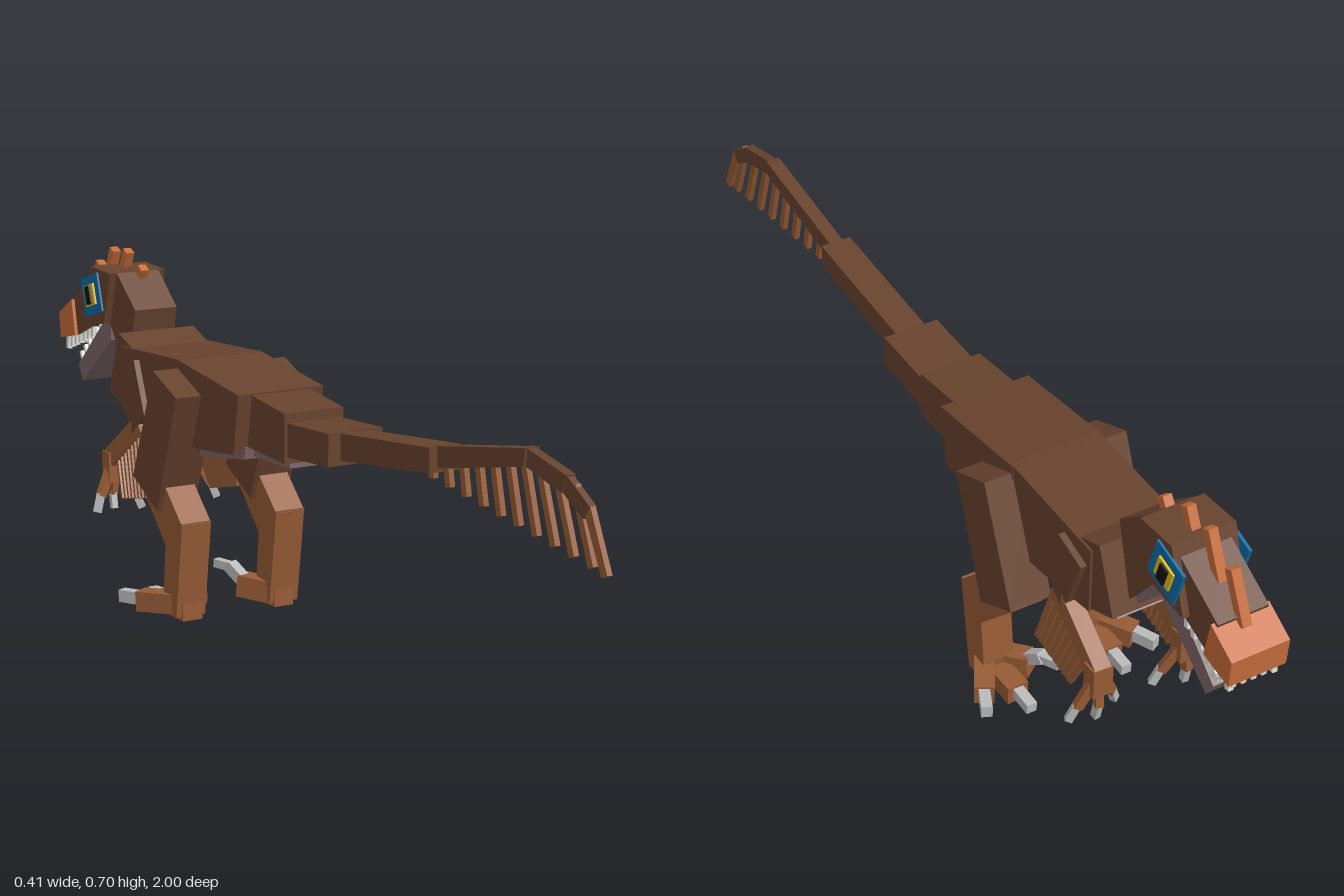
import * as THREE from 'three';

const mat = (name, color) => new THREE.MeshStandardMaterial({ name, color });

export function createModel() {
  const root = new THREE.Group();
  root.name = 'featheredDinosaur';
  const brown = mat('darkBrown', 0x67432e), tan = mat('tanBrown', 0x965b36);
  const orange = mat('crestOrange', 0xc66d3a), purple = mat('bellyPurple', 0x7c6668);
  const blue = mat('eyePatchBlue', 0x0b6ca6), yellow = mat('irisYellow', 0xe0b810);
  const black = mat('pupilBlack', 0x111111), grey = mat('clawGrey', 0xb9b9b9);
  const white = mat('toothWhite', 0xe6e6e2);
  const CX = 0.003;

  // Side profile given as [z, y] points, extruded across x
  function prism(name, material, pts, width, x = 0) {
    const shape = new THREE.Shape(pts.map(([z, y]) => new THREE.Vector2(-z, y)));
    const g = new THREE.ExtrudeGeometry(shape, { depth: width, bevelEnabled: false });
    g.rotateY(Math.PI / 2);
    g.translate(x - width / 2 + CX, 0, 0);
    const m = new THREE.Mesh(g, material);
    m.name = name;
    root.add(m);
  }

  // Box stretched between two points
  function bar(name, material, a, b, w, h) {
    const A = new THREE.Vector3(...a), B = new THREE.Vector3(...b);
    const m = new THREE.Mesh(new THREE.BoxGeometry(w, h, A.distanceTo(B)), material);
    m.position.copy(A).add(B).multiplyScalar(0.5);
    m.lookAt(B);
    m.position.x += CX;
    m.name = name;
    root.add(m);
  }

  // Torso
  prism('hips', brown, [[-0.1, 0.51], [-0.36, 0.54], [-0.36, 0.36], [-0.12, 0.385]], 0.195);
  prism('chest', brown, [[-0.35, 0.54], [-0.62, 0.525], [-0.62, 0.386], [-0.45, 0.36], [-0.35, 0.355]], 0.19);
  prism('neckBase', brown, [[-0.53, 0.51], [-0.64, 0.55], [-0.69, 0.418], [-0.61, 0.386]], 0.18);
  prism('belly', purple, [[-0.11, 0.4], [-0.115, 0.375], [-0.36, 0.337], [-0.45, 0.345],
    [-0.61, 0.376], [-0.685, 0.408], [-0.66, 0.43], [-0.45, 0.38], [-0.36, 0.38]], 0.152);

  // Tail, from the hips to the tip
  prism('tailBase', brown, [[0.03, 0.493], [-0.13, 0.51], [-0.13, 0.4], [0.03, 0.393]], 0.133);
  prism('tailBelly', purple, [[0.03, 0.395], [-0.12, 0.4], [-0.12, 0.38], [0.03, 0.383]], 0.11);
  prism('tailSecond', brown, [[0.185, 0.482], [0.02, 0.473], [0.02, 0.405], [0.185, 0.417]], 0.12);
  prism('tailThird', brown, [[0.495, 0.512], [0.17, 0.478], [0.17, 0.425], [0.495, 0.464]], 0.066);
  prism('tailFourth', brown, [[0.77, 0.562], [0.48, 0.51], [0.48, 0.468], [0.765, 0.528]], 0.03);
  prism('tailFifth', brown, [[0.885, 0.536], [0.76, 0.562], [0.755, 0.53], [0.87, 0.503]], 0.02);
  prism('tailSixth', brown, [[0.948, 0.495], [0.88, 0.536], [0.868, 0.505], [0.93, 0.47]], 0.014);
  prism('tailTip', tan, [[1, 0.387], [0.948, 0.495], [0.928, 0.488], [0.983, 0.38]], 0.011);
  for (let i = 0; i < 10; i++) {
    const z = 0.455 + i * 0.0525, t = i / 9;
    const top = 0.485 + 0.05 * Math.sin(Math.min(1, t * 1.25) * 2.3);
    bar('tailFeather', tan, [0, top, z - 0.03 * t], [0, 0.445 - 0.055 * t, z + 0.02 * t + 0.005], 0.011, 0.016);
  }

  // Neck and head
  prism('neck', brown, [[-0.64, 0.595], [-0.725, 0.664], [-0.77, 0.56], [-0.68, 0.44]], 0.1);
  prism('throat', purple, [[-0.755, 0.55], [-0.776, 0.558], [-0.69, 0.43], [-0.67, 0.43]], 0.07);
  prism('skull', brown, [[-0.725, 0.664], [-0.82, 0.668], [-0.865, 0.54], [-0.76, 0.55]], 0.133);
  prism('upperSnout', brown, [[-0.81, 0.655], [-0.945, 0.58], [-0.92, 0.5], [-0.82, 0.54]], 0.105);
  prism('snoutTip', orange, [[-0.935, 0.578], [-1, 0.54], [-0.995, 0.483], [-0.92, 0.5]], 0.12);
  prism('lowerJaw', purple, [[-0.765, 0.56], [-0.795, 0.555], [-0.935, 0.43], [-0.915, 0.397], [-0.77, 0.51]], 0.09);
  const crests = [[-0.705, 0.675, -0.74, 0.62], [-0.775, 0.703, -0.815, 0.62],
    [-0.84, 0.698, -0.88, 0.61], [-0.91, 0.66, -0.955, 0.565]];
  for (const [z1, y1, z2, y2] of crests) bar('crestFeather', orange, [0.004, y1, z1], [0.004, y2, z2], 0.019, 0.02);

  // Teeth across the front of each jaw
  for (let i = -2; i <= 2; i++) {
    bar('frontTooth', white, [i * 0.021, 0.495, -0.985], [i * 0.021, 0.468, -0.982], 0.01, 0.01);
    bar('lowerFrontTooth', white, [i * 0.017, 0.425, -0.925], [i * 0.017, 0.45, -0.934], 0.008, 0.008);
  }

  for (const s of [1, -1]) {
    // Eye: stacked thin plates turned to follow the skull
    const plates = [['eyePatch', blue, 0.085, 0.085, 0.068], ['iris', yellow, 0.046, 0.046, 0.0725],
      ['pupil', black, 0.022, 0.04, 0.077]];
    for (const [name, m, d, h, x] of plates) {
      const p = new THREE.Mesh(new THREE.BoxGeometry(0.006, h, d), m);
      p.position.set(s * x + CX, 0.606, -0.812);
      p.rotation.x = -0.3;
      p.name = name;
      root.add(p);
    }

    // Side teeth
    for (let i = 0; i < 7; i++) {
      const z = -0.85 - i * 0.021, y = 0.54 - i * 0.0075;
      bar('upperTooth', white, [s * 0.046, y, z], [s * 0.046, y - 0.035, z - 0.004], 0.01, 0.011);
      if (i < 6) {
        const jz = -0.825 - i * 0.019, jy = 0.52 - i * 0.017;
        bar('lowerTooth', white, [s * 0.038, jy, jz], [s * 0.038, jy + 0.025, jz - 0.012], 0.008, 0.009);
      }
    }

    // Hind leg
    prism('thigh', brown, [[-0.255, 0.482], [-0.355, 0.522], [-0.452, 0.284], [-0.345, 0.23]], 0.089, s * 0.11);
    prism('shin', tan, [[-0.255, 0.215], [-0.335, 0.29], [-0.44, 0.27], [-0.325, 0.155], [-0.3, 0.15]], 0.067, s * 0.11);
    prism('lowerLeg', tan, [[-0.255, 0.22], [-0.325, 0.21], [-0.34, 0.06], [-0.335, 0.02], [-0.285, 0.015]], 0.067, s * 0.11);

    // Foot: middle toe, outer toe and raised inner toe with claws
    bar('middleToe', tan, [s * 0.108, 0.026, -0.28], [s * 0.108, 0.026, -0.41], 0.045, 0.038);
    bar('middleClaw', grey, [s * 0.108, 0.03, -0.405], [s * 0.108, 0.026, -0.46], 0.022, 0.022);
    bar('outerToe', tan, [s * 0.115, 0.04, -0.295], [s * 0.172, 0.034, -0.39], 0.04, 0.042);
    bar('outerClaw', grey, [s * 0.17, 0.038, -0.385], [s * 0.193, 0.036, -0.435], 0.022, 0.026);
    bar('innerToe', tan, [s * 0.1, 0.035, -0.3], [s * 0.052, 0.043, -0.365], 0.042, 0.046);
    bar('innerClaw', grey, [s * 0.053, 0.055, -0.36], [s * 0.043, 0.078, -0.395], 0.024, 0.024);
    bar('innerClawTip', grey, [s * 0.045, 0.075, -0.39], [s * 0.028, 0.078, -0.43], 0.018, 0.018);

    // Arm
    prism('upperArm', brown, [[-0.535, 0.51], [-0.61, 0.485], [-0.555, 0.345], [-0.49, 0.4]], 0.04, s * 0.088);
    bar('forearm', tan, [s * 0.09, 0.375, -0.52], [s * 0.095, 0.272, -0.665], 0.034, 0.042);
    bar('hand', tan, [s * 0.095, 0.29, -0.66], [s * 0.095, 0.225, -0.66], 0.042, 0.034);
    for (const [dx, dz] of [[-0.04, 0.01], [0.002, -0.012], [0.038, 0.004]]) {
      const x = 0.095 + dx, z = -0.655 + dz;
      bar('finger', tan, [s * (0.095 + dx * 0.3), 0.25, -0.66], [s * x, 0.195, z], 0.016, 0.018);
      bar('fingerClaw', grey, [s * x, 0.2, z], [s * (x + dx * 0.35), 0.163, z + 0.008], 0.013, 0.015);
    }

    // Arm feathers, shorter towards the wrist
    for (let i = 0; i < 8; i++) {
      const t = i / 7;
      bar('armFeather', tan, [s * 0.098, 0.37 - 0.085 * t, -0.52 - 0.11 * t],
        [s * 0.108, 0.225 - 0.025 * t, -0.478 - 0.11 * t], 0.012, 0.013);
    }
  }
  return root;
}
